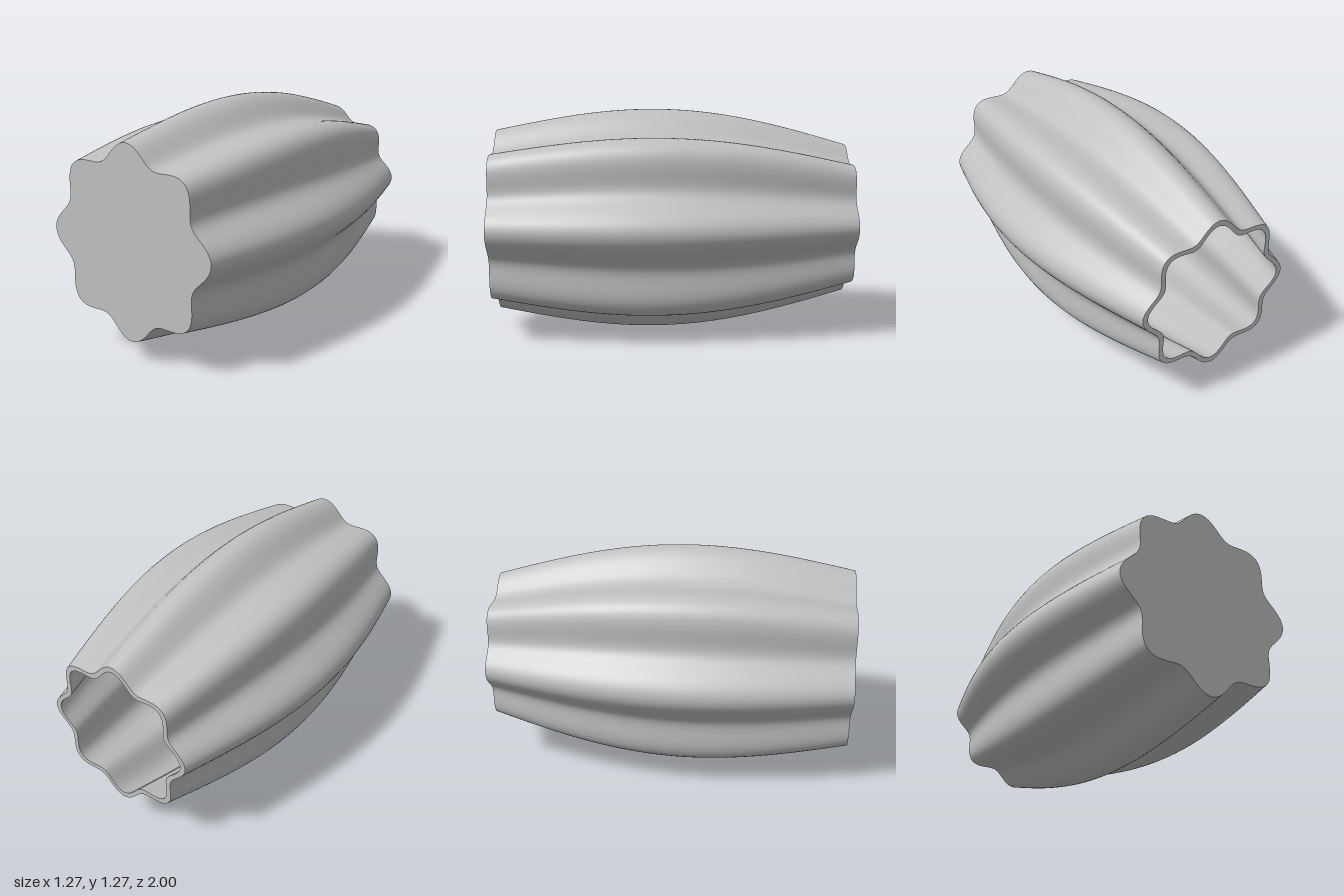
import * as THREE from 'three';
import { ParametricGeometry } from 'three/addons/geometries/ParametricGeometry.js';

const CENTER_Y = 0.637;
const WALL = 0.03;
const FLOOR_Z = 0.96;
const SLICES = 192;

// Lobe-tip radius along the length: a sine belly on a slight taper
const belly = (z) => 0.474 + 0.044 * z + 0.1585 * Math.cos((Math.PI * z) / 2);

// Eight-lobed cross-section radius
const radius = (a, z, inset) => belly(z) * (0.921 + 0.079 * Math.cos(8 * a)) - inset;

export function createModel() {
  const group = new THREE.Group();
  group.name = 'flutedVase';
  const grey = new THREE.MeshStandardMaterial({ color: 0xc0c0c0 });
  grey.name = 'light grey';

  const add = (name, geometry) => {
    const mesh = new THREE.Mesh(geometry, grey);
    mesh.name = name;
    mesh.position.y = CENTER_Y;
    group.add(mesh);
    return mesh;
  };

  // Surface swept round the axis; path(v) gives [z, inset]
  const band = (path, stacks) =>
    new ParametricGeometry((u, v, target) => {
      const a = u * Math.PI * 2;
      const [z, inset] = path(v);
      const r = radius(a, z, inset);
      target.set(r * Math.cos(a), r * Math.sin(a), z);
    }, SLICES, stacks);

  // Flat lobed disc facing +z
  const disc = (z, inset) => {
    const points = [];
    for (let i = 0; i < SLICES; i++) {
      const a = (i / SLICES) * Math.PI * 2;
      const r = radius(a, z, inset);
      points.push(new THREE.Vector2(r * Math.cos(a), r * Math.sin(a)));
    }
    return new THREE.ShapeGeometry(new THREE.Shape(points));
  };

  // Fluted outside and inside walls, and the rim at the open back
  add('outerWall', band((v) => [-1 + 2 * v, 0], 48));
  add('innerWall', band((v) => [FLOOR_Z - (FLOOR_Z + 1) * v, WALL], 48));
  add('rim', band((v) => [-1, WALL * (1 - v)], 1));

  // Closed front end and the floor inside it
  add('base', disc(1, 0)).position.z = 1;
  const floor = add('innerFloor', disc(FLOOR_Z, WALL));
  floor.position.z = FLOOR_Z;
  floor.rotation.y = Math.PI;

  return group;
}
